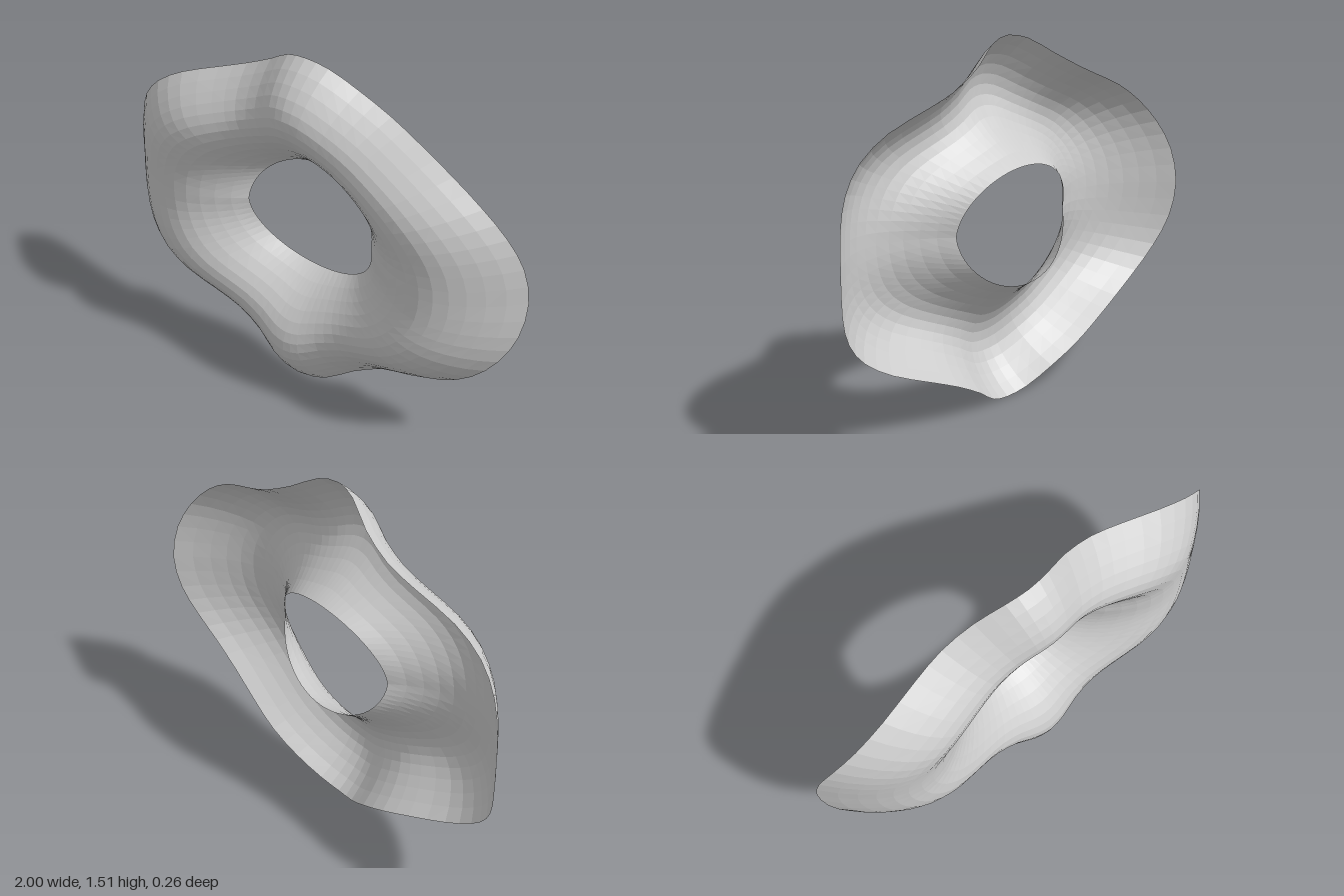
import * as THREE from 'three';

const CENTRE_Y = 0.755;
const AROUND = 72; // segments around the ring
const ACROSS = 12; // segments from the hole to the outer rim

// Quarter of the wavy outer rim, from the side (+x) to the top: x, y, z
const RIM_QUARTER = [
  [1, 0, -0.13], [0.98, 0.155, -0.11], [0.92, 0.28, -0.075], [0.82, 0.385, -0.05],
  [0.68, 0.47, -0.052], [0.5, 0.54, -0.08], [0.36, 0.595, -0.095],
  [0.22, 0.665, -0.078], [0.1, 0.735, -0.04], [0, 0.755, -0.025],
];

// Mirror the quarter into a closed curve
function rimCurve() {
  const v = (sx, sy) => ([x, y, z]) => new THREE.Vector3(sx * x, sy * y, z);
  const q = RIM_QUARTER;
  const back = [...q].reverse();
  const points = [
    ...q.map(v(1, 1)),
    ...back.slice(1).map(v(-1, 1)),
    ...q.slice(1).map(v(-1, -1)),
    ...back.slice(1, -1).map(v(1, -1)),
  ];
  return new THREE.CatmullRomCurve3(points, true, 'centripetal');
}

// Point on the oval hole edge that belongs to a rim point
function holePoint(rim) {
  const a = Math.atan2(rim.y / 0.755, rim.x);
  const s = Math.sin(a);
  return new THREE.Vector3(0.32 * Math.cos(a), 0.245 * s, -0.045 - 0.08 * Math.abs(s) ** 1.3);
}

// Thin shell: each section arches forward between the hole edge and the rim
function shellGeometry() {
  const curve = rimCurve();
  const positions = [];
  const indices = [];
  const p = new THREE.Vector3();
  for (let i = 0; i < AROUND; i++) {
    const rim = curve.getPoint(i / AROUND);
    const hole = holePoint(rim);
    for (let j = 0; j <= ACROSS; j++) {
      const t = j / ACROSS;
      p.lerpVectors(hole, rim, t);
      const arch = 0.195 * Math.max(0, Math.sin(Math.PI * t)) ** 0.9;
      positions.push(p.x, p.y + CENTRE_Y, p.z + arch);
    }
  }
  const row = ACROSS + 1;
  for (let i = 0; i < AROUND; i++) {
    for (let j = 0; j < ACROSS; j++) {
      const a = i * row + j;
      const b = ((i + 1) % AROUND) * row + j;
      indices.push(a, a + 1, b + 1, a, b + 1, b);
    }
  }
  const geometry = new THREE.BufferGeometry();
  geometry.setAttribute('position', new THREE.Float32BufferAttribute(positions, 3));
  geometry.setIndex(indices);
  geometry.computeVertexNormals();
  return geometry;
}

export function createModel() {
  const group = new THREE.Group();
  group.name = 'wavyRing';
  const material = new THREE.MeshStandardMaterial({
    color: 0xcccccc,
    flatShading: true,
    side: THREE.DoubleSide,
  });
  const shell = new THREE.Mesh(shellGeometry(), material);
  shell.name = 'ringShell';
  group.add(shell);
  return group;
}
